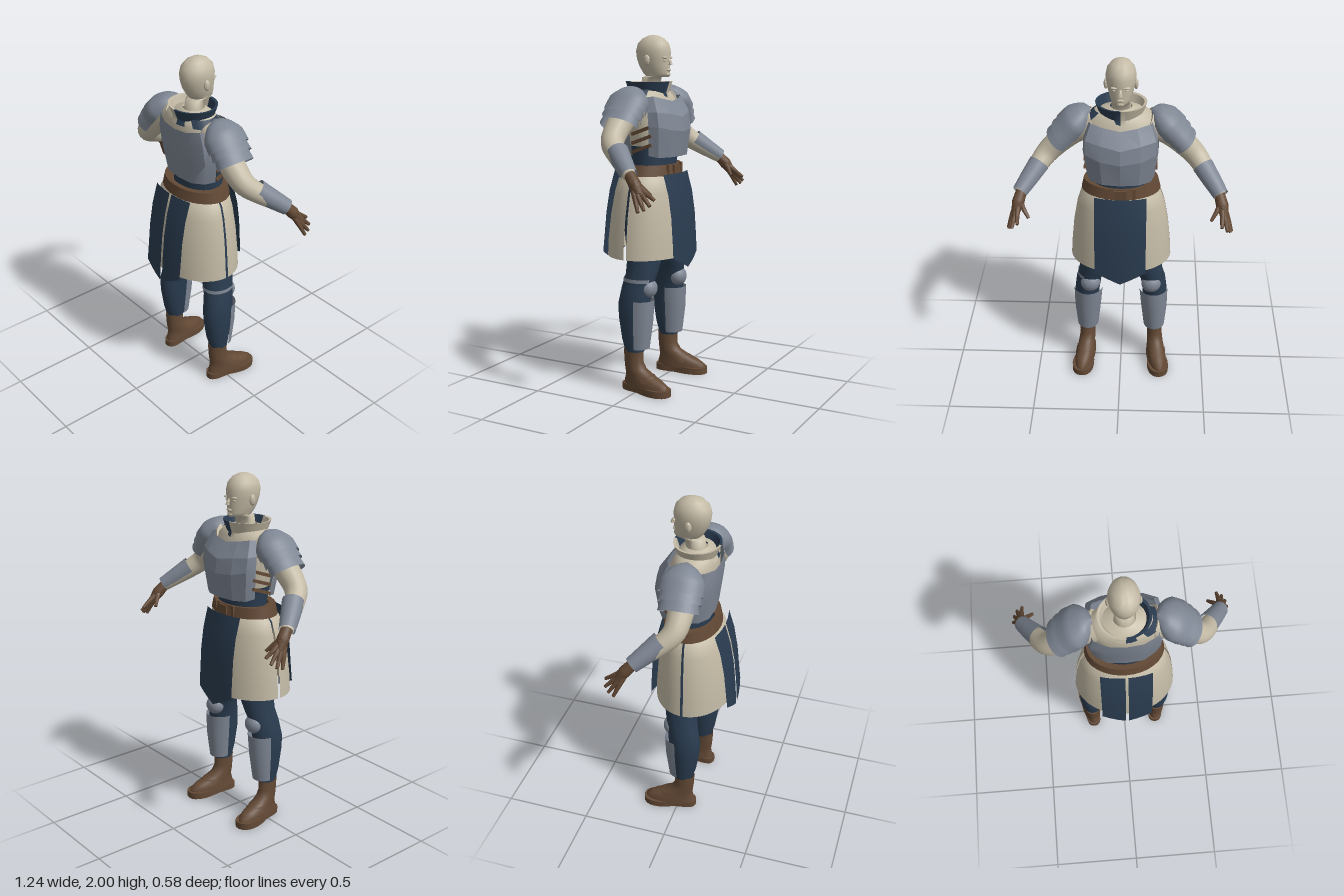
import * as THREE from 'three';
import { toCreasedNormals, mergeVertices } from 'three/addons/utils/BufferGeometryUtils.js';

const material = (name, color) => {
  const m = new THREE.MeshStandardMaterial({ color, side: THREE.DoubleSide });
  m.name = name;
  return m;
};
const V = (x, y, z) => new THREE.Vector3(x, y, z);
const rad = THREE.MathUtils.degToRad;

// Surface through rows of points
function surface(rows, closed = false) {
  const n = rows[0].length, idx = [];
  for (let r = 0; r < rows.length - 1; r++) {
    for (let i = 0; i < (closed ? n : n - 1); i++) {
      const a = r * n + i, b = r * n + (i + 1) % n;
      idx.push(a, b, b + n, a, b + n, a + n);
    }
  }
  const g = new THREE.BufferGeometry().setFromPoints(rows.flat());
  g.setIndex(idx);
  return g;
}

// Horizontal rings [cx, y, cz, rx, rz], bottom to top; angle 0 is +z, 90 is +x
function loft(rings, from = 0, to = 360, n = 32) {
  const closed = to - from === 360;
  const steps = closed ? n : Math.max(4, Math.ceil(n * (to - from) / 360)) + 1;
  return surface(rings.map(([cx, y, cz, rx, rz]) => Array.from({ length: steps }, (_, i) => {
    const t = rad(from + (to - from) * i / (closed ? steps : steps - 1));
    return V(cx + rx * Math.sin(t), y, cz + rz * Math.cos(t));
  })), closed);
}

// Tube through [x, y, z, r] stations; k widens it front to back, arc in turns of pi
function limb(stations, { k = 1, from = 0, to = 2, sides = 18, steps = 16, caps = false } = {}) {
  const curve = new THREE.CatmullRomCurve3(stations.map(p => V(p[0], p[1], p[2])));
  const closed = to - from === 2, rows = [];
  for (let j = 0; j <= steps; j++) {
    const u = j / steps, f = u * (stations.length - 1), i = Math.min(Math.floor(f), stations.length - 2);
    const r = THREE.MathUtils.lerp(stations[i][3], stations[i + 1][3], f - i);
    const T = curve.getTangent(u), c = curve.getPoint(u);
    const U = T.clone().cross(V(0, 0, 1)).normalize(), W = T.clone().cross(U);
    const ring = q => Array.from({ length: closed ? sides : sides + 1 }, (_, m) => {
      const a = Math.PI * (from + (to - from) * m / sides);
      return c.clone().addScaledVector(U, q * Math.cos(a)).addScaledVector(W, q * k * Math.sin(a));
    });
    if (caps && j === 0) rows.push(ring(0.0005));
    rows.push(ring(r));
    if (caps && j === steps) rows.push(ring(0.0005));
  }
  return surface(rows, closed);
}

// Left-right symmetric plate from rows of half-profile points [x, y, z], centre outwards
const plate = rows => surface(rows.map(row =>
  [...row.slice(1).reverse().map(p => V(-p[0], p[1], p[2])), ...row.map(p => V(...p))]));

const ball = (x, y, z, sx, sy, sz) => new THREE.SphereGeometry(1, 20, 14).scale(sx, sy, sz).translate(x, y, z);
const box = (x, y, z, w, h, d, tilt = 0) => new THREE.BoxGeometry(w, h, d).rotateX(tilt).translate(x, y, z);

export function createModel() {
  const model = new THREE.Group();
  const cream = material('cream', 0xc4bba6), navy = material('navy', 0x2a3c50);
  const steel = material('steel', 0x7f8794), brown = material('brown', 0x634935);

  const add = (name, geo, mat, crease = 0.7) => {
    const mesh = new THREE.Mesh(toCreasedNormals(geo, crease), mat);
    mesh.name = name;
    model.add(mesh);
  };
  // Adds a part for the left (+x) and its mirror image for the right
  const pair = (name, geo, mat, crease) => {
    const other = geo.clone().scale(-1, 1, 1);
    other.index.array.reverse();
    add('left ' + name, geo, mat, crease);
    add('right ' + name, other, mat, crease);
  };

  // Head, looking towards -z
  add('head', loft([
    [0, 1.64, 0.05, 0.06, 0.062], [0, 1.7, 0.042, 0.052, 0.055], [0, 1.765, 0.032, 0.05, 0.056],
    [0, 1.772, -0.005, 0.047, 0.07], [0, 1.79, 0.002, 0.056, 0.08], [0, 1.83, 0.014, 0.068, 0.092],
    [0, 1.87, 0.02, 0.077, 0.099], [0, 1.91, 0.022, 0.082, 0.102], [0, 1.95, 0.022, 0.074, 0.092],
    [0, 1.98, 0.022, 0.051, 0.064], [0, 1.995, 0.022, 0.024, 0.03], [0, 2, 0.022, 0.001, 0.001]]), cream, 1.3);
  add('nose', limb([[0, 1.868, -0.074, 0.006], [0, 1.848, -0.086, 0.009], [0, 1.835, -0.088, 0.012]], { caps: true, steps: 6 }), cream, 1.2);
  add('mouth', ball(0, 1.806, -0.074, 0.021, 0.008, 0.012), cream);
  add('chin', ball(0, 1.782, -0.064, 0.022, 0.015, 0.018), cream);
  pair('brow', ball(0.03, 1.874, -0.066, 0.022, 0.007, 0.013), cream);
  pair('eye', ball(0.03, 1.858, -0.064, 0.013, 0.006, 0.01), cream);
  pair('ear', ball(0.08, 1.86, 0.02, 0.012, 0.03, 0.018), cream);

  // Shirt, waist and two-coloured collar
  add('shirt', loft([
    [0, 1.3, 0.02, 0.15, 0.11], [0, 1.38, 0.02, 0.17, 0.125], [0, 1.5, 0.025, 0.19, 0.14],
    [0, 1.6, 0.035, 0.2, 0.13], [0, 1.655, 0.045, 0.195, 0.115], [0, 1.69, 0.048, 0.15, 0.1],
    [0, 1.72, 0.045, 0.06, 0.06]]), cream, 1.2);
  add('waist', loft([[0, 1.18, 0.015, 0.17, 0.125], [0, 1.27, 0.015, 0.158, 0.115], [0, 1.39, 0.02, 0.175, 0.13]]), navy);
  const collar = [[0, 1.655, 0.048, 0.135, 0.118], [0, 1.68, 0.048, 0.118, 0.108],
    [0, 1.742, 0.05, 0.14, 0.13], [0, 1.74, 0.05, 0.125, 0.116], [0, 1.68, 0.048, 0.105, 0.096]];
  add('left collar half', loft(collar, 0, 180), navy);
  add('right collar half', loft(collar, 180, 360), cream);
  add('left collar base', loft([[0, 1.66, 0.046, 0.195, 0.118], [0, 1.7, 0.048, 0.145, 0.104]], 35, 125), navy);

  // Cuirass with a ridged breastplate and rounded backplate
  add('breastplate', plate([
    [[0, 1.33, -0.152], [0.1, 1.33, -0.14], [0.165, 1.33, -0.1], [0.185, 1.34, -0.05]],
    [[0, 1.47, -0.178], [0.11, 1.48, -0.158], [0.19, 1.5, -0.115], [0.205, 1.5, -0.06]],
    [[0, 1.55, -0.165], [0.11, 1.57, -0.142], [0.19, 1.58, -0.105], [0.2, 1.58, -0.05]],
    [[0, 1.635, -0.1], [0.09, 1.65, -0.09], [0.16, 1.665, -0.065], [0.17, 1.66, -0.03]]]), steel, 0.25);
  add('backplate', plate([
    [[0, 1.33, 0.155], [0.1, 1.33, 0.145], [0.165, 1.335, 0.105], [0.188, 1.34, 0.05]],
    [[0, 1.46, 0.168], [0.11, 1.46, 0.16], [0.185, 1.46, 0.12], [0.208, 1.46, 0.06]],
    [[0, 1.56, 0.178], [0.11, 1.56, 0.172], [0.185, 1.57, 0.135], [0.205, 1.57, 0.08]],
    [[0, 1.63, 0.178], [0.09, 1.638, 0.172], [0.165, 1.655, 0.14], [0.18, 1.65, 0.1]]]), steel);
  for (const y of [1.38, 1.43, 1.48]) pair('side strap', box(0.195, y, -0.01, 0.012, 0.018, 0.13, 0.35), brown);

  // Belt
  add('belt', loft([[0, 1.23, 0.03, 0.16, 0.115], [0, 1.225, 0.03, 0.222, 0.158],
    [0, 1.285, 0.03, 0.208, 0.146], [0, 1.282, 0.03, 0.16, 0.115]]), brown);
  add('buckle', box(0, 1.255, -0.126, 0.07, 0.055, 0.012), brown);
  pair('belt loop', box(0.075, 1.255, -0.113, 0.018, 0.066, 0.014), brown);

  // Skirt, slit at both sides, under a front panel and a split back panel
  const skirt = [[0, 0.765, 0.045, 0.29, 0.222], [0, 0.85, 0.045, 0.285, 0.22], [0, 1.0, 0.043, 0.27, 0.205],
    [0, 1.13, 0.04, 0.247, 0.185], [0, 1.2, 0.038, 0.225, 0.168], [0, 1.235, 0.035, 0.19, 0.14]];
  add('back skirt', loft(skirt, -88, 88, 56), cream);
  add('front skirt', loft(skirt, 92, 268, 56), cream);
  const panel = (inner, rows) => rows.map(([y, z, drop, bend]) =>
    [0, 0.33, 0.67, 1].map(u => [inner + u * (0.145 - inner), y + u * drop, z - bend * u * u]));
  add('front panel', plate(panel(0, [[0.7, -0.202, 0.07, -0.018], [0.85, -0.198, 0, -0.018],
    [1.0, -0.188, 0, -0.018], [1.12, -0.172, 0, -0.02], [1.235, -0.145, 0, -0.025]])), navy);
  const backRows = panel(0.008, [[0.7, 0.292, 0.07, 0.018], [0.85, 0.283, 0, 0.018],
    [1.0, 0.268, 0, 0.018], [1.13, 0.245, 0, 0.018], [1.245, 0.212, 0, 0.02]]);
  pair('back panel', surface(backRows.map(r => r.map(p => V(...p)))), navy);

  // Arms
  pair('sleeve', limb([[0.14, 1.625, 0.04, 0.085], [0.25, 1.575, 0.05, 0.078], [0.34, 1.495, 0.058, 0.069],
    [0.41, 1.425, 0.045, 0.062], [0.47, 1.36, -0.025, 0.052], [0.545, 1.275, -0.14, 0.035]], { caps: true, steps: 24 }), cream, 1);
  pair('bracer', limb([[0.45, 1.385, -0.01, 0.06], [0.5, 1.33, -0.075, 0.053], [0.548, 1.278, -0.14, 0.044]],
    { from: 0.2, to: 1.6 }), steel);

  // Pauldrons: a dome over two overlapping bands
  const lames = { k: 1.4, from: 0.3, to: 1.7, steps: 10, sides: 24 };
  pair('pauldron dome', limb([[0.165, 1.705, 0.042, 0.005], [0.19, 1.685, 0.042, 0.05], [0.235, 1.64, 0.042, 0.085],
    [0.285, 1.585, 0.042, 0.088]], lames), steel);
  pair('pauldron band', limb([[0.265, 1.605, 0.042, 0.074], [0.315, 1.55, 0.045, 0.084]], lames), steel);
  pair('pauldron lower band', limb([[0.3, 1.565, 0.045, 0.07], [0.345, 1.51, 0.048, 0.079]], lames), steel);

  // Gloves
  const wrist = [0.54, 1.28, -0.135];
  pair('palm', limb([[...wrist, 0.03], [0.556, 1.235, -0.175, 0.034], [0.57, 1.185, -0.21, 0.022]], { caps: true }), brown, 1);
  const fingers = [
    ['index finger', [0.556, 1.205, -0.222], [0.553, 1.16, -0.288]],
    ['middle finger', [0.568, 1.195, -0.216], [0.585, 1.132, -0.28]],
    ['ring finger', [0.578, 1.185, -0.205], [0.604, 1.112, -0.256]],
    ['little finger', [0.584, 1.18, -0.19], [0.612, 1.1, -0.225]],
    ['thumb', [0.535, 1.225, -0.192], [0.496, 1.172, -0.238]]];
  for (const [name, knuckle, tip] of fingers) {
    pair(name, limb([[0.55, 1.255, -0.155, 0.018], [...knuckle, 0.015], [...tip, 0.009]],
      { caps: true, sides: 10, steps: 8 }), brown, 1);
  }

  // Legs
  pair('trouser leg', loft([[0.205, 0.228, 0.03, 0.03, 0.03], [0.205, 0.23, 0.03, 0.05, 0.056],
    [0.204, 0.3, 0.035, 0.06, 0.072], [0.203, 0.42, 0.038, 0.071, 0.088], [0.203, 0.5, 0.036, 0.073, 0.094],
    [0.19, 0.6, 0.022, 0.074, 0.09], [0.165, 0.67, 0.008, 0.08, 0.092], [0.137, 0.77, 0, 0.102, 0.1],
    [0.11, 0.95, 0.02, 0.108, 0.12], [0.085, 1.2, 0.025, 0.09, 0.11]]), navy, 1);
  pair('greave', loft([[0.202, 0.25, 0.015, 0.063, 0.072], [0.2, 0.4, 0.012, 0.078, 0.088],
    [0.195, 0.53, 0.01, 0.085, 0.092]], 98, 270), steel);
  pair('knee guard', ball(0.18, 0.595, -0.045, 0.058, 0.055, 0.05), steel);
  add('knee strap', loft([[0.177, 0.632, 0.014, 0.081, 0.095], [0.175, 0.652, 0.012, 0.081, 0.095]], -30, 150), steel);

  // Boots, toes turned slightly out
  const place = g => g.rotateY(-0.14).translate(0.212, 0, 0);
  pair('boot', place(loft([[0, 0.03, -0.05, 0.058, 0.15], [0, 0.055, -0.05, 0.057, 0.146], [0, 0.078, -0.035, 0.053, 0.125],
    [0, 0.1, -0.01, 0.05, 0.096], [0, 0.13, 0.022, 0.047, 0.068], [0, 0.17, 0.036, 0.045, 0.058],
    [0, 0.24, 0.038, 0.047, 0.06]])), brown, 1);
  const outline = new THREE.Shape();
  outline.moveTo(0, -0.108);
  outline.bezierCurveTo(0.06, -0.108, 0.04, -0.02, 0.048, 0.03);
  outline.bezierCurveTo(0.075, 0.1, 0.075, 0.21, 0, 0.212);
  outline.bezierCurveTo(-0.075, 0.21, -0.07, 0.1, -0.048, 0.03);
  outline.bezierCurveTo(-0.04, -0.02, -0.06, -0.108, 0, -0.108);
  const sole = new THREE.ExtrudeGeometry(outline, { depth: 0.038, bevelEnabled: false, curveSegments: 8 });
  pair('sole', place(mergeVertices(sole.rotateX(-Math.PI / 2))), brown);
  pair('boot strap', place(loft([[0, 0.066, -0.04, 0.059, 0.1], [0, 0.1, -0.01, 0.054, 0.1]], 100, 260)), brown);

  return model;
}
